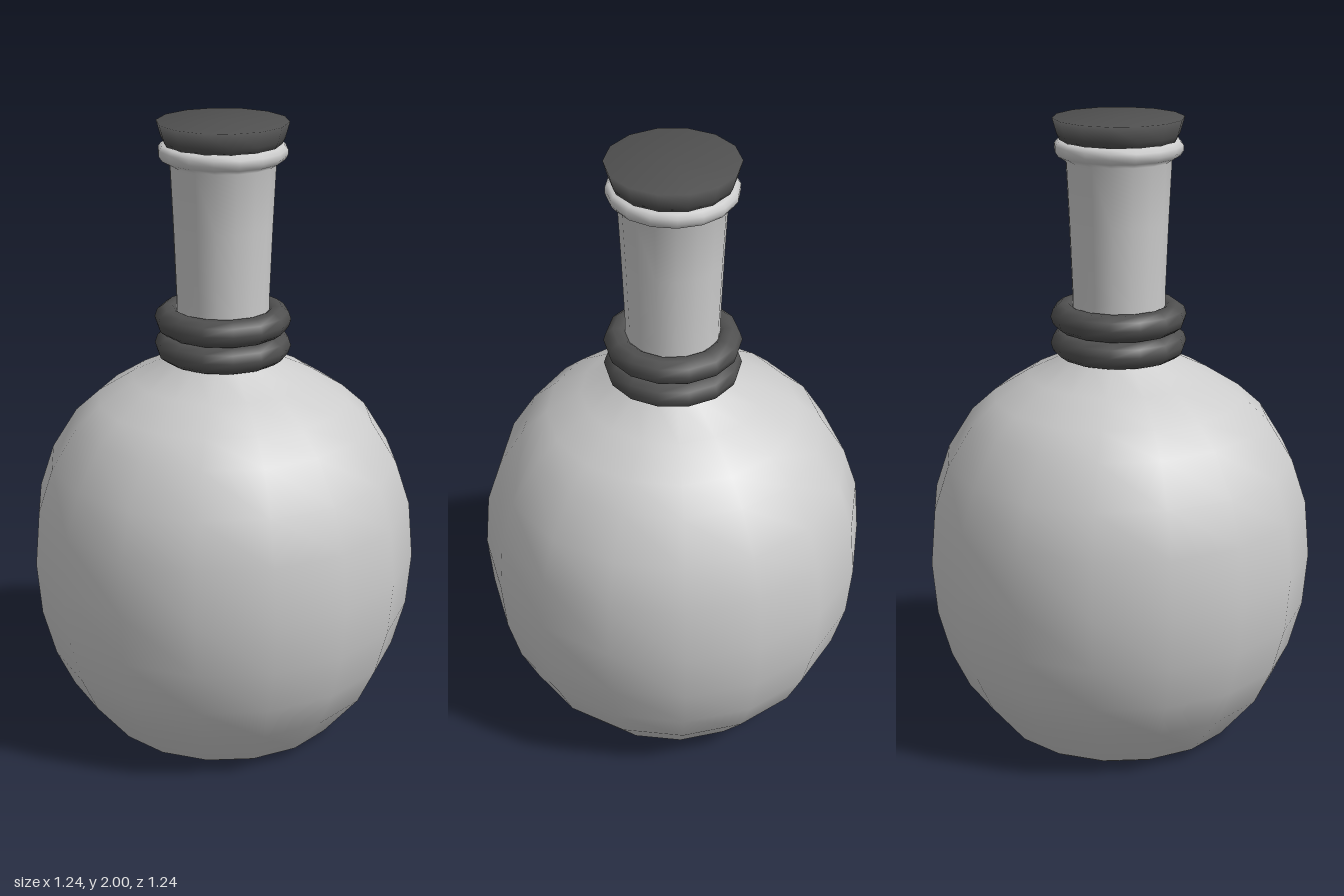
import * as THREE from 'three';

const grey = new THREE.MeshStandardMaterial({ color: 0xcccccc });
const dark = new THREE.MeshStandardMaterial({ color: 0x505050 });

// Turned part from [radius, height] pairs listed bottom to top
function turned(name, profile, sides, material) {
  const points = profile.map(([r, y]) => new THREE.Vector2(r, y));
  const mesh = new THREE.Mesh(new THREE.LatheGeometry(points, sides, Math.PI / 2), material);
  mesh.name = name;
  return mesh;
}

export function createModel() {
  const group = new THREE.Group();
  group.name = 'bottle';

  // Round belly with a flat foot
  group.add(turned('body', [
    [0, 0], [0.36, 0], [0.385, 0.015], [0.505, 0.16], [0.562, 0.28], [0.603, 0.43],
    [0.618, 0.6], [0.603, 0.78], [0.557, 0.92], [0.477, 1.05], [0.4, 1.12],
    [0.29, 1.19], [0.165, 1.25], [0.148, 1.28],
  ], 16, grey));

  // Slightly flared neck ending in a rounded lip
  group.add(turned('neck', [
    [0.148, 1.28], [0.147, 1.45], [0.156, 1.68], [0.165, 1.87], [0.19, 1.885],
    [0.2, 1.9], [0.2, 1.918], [0.19, 1.93], [0.165, 1.935], [0, 1.935],
  ], 16, grey));

  // Two stacked rings at the foot of the neck
  for (const [name, y] of [['lowerRing', 1.293], ['upperRing', 1.378]]) {
    const ring = new THREE.Mesh(new THREE.TorusGeometry(0.172, 0.043, 10, 14), dark);
    ring.name = name;
    ring.rotation.x = -Math.PI / 2;
    ring.position.y = y;
    group.add(ring);
  }

  // Stopper widening to a flat top
  group.add(turned('stopper', [
    [0, 1.93], [0.18, 1.93], [0.19, 1.95], [0.204, 2], [0, 2],
  ], 14, dark));

  return group;
}
